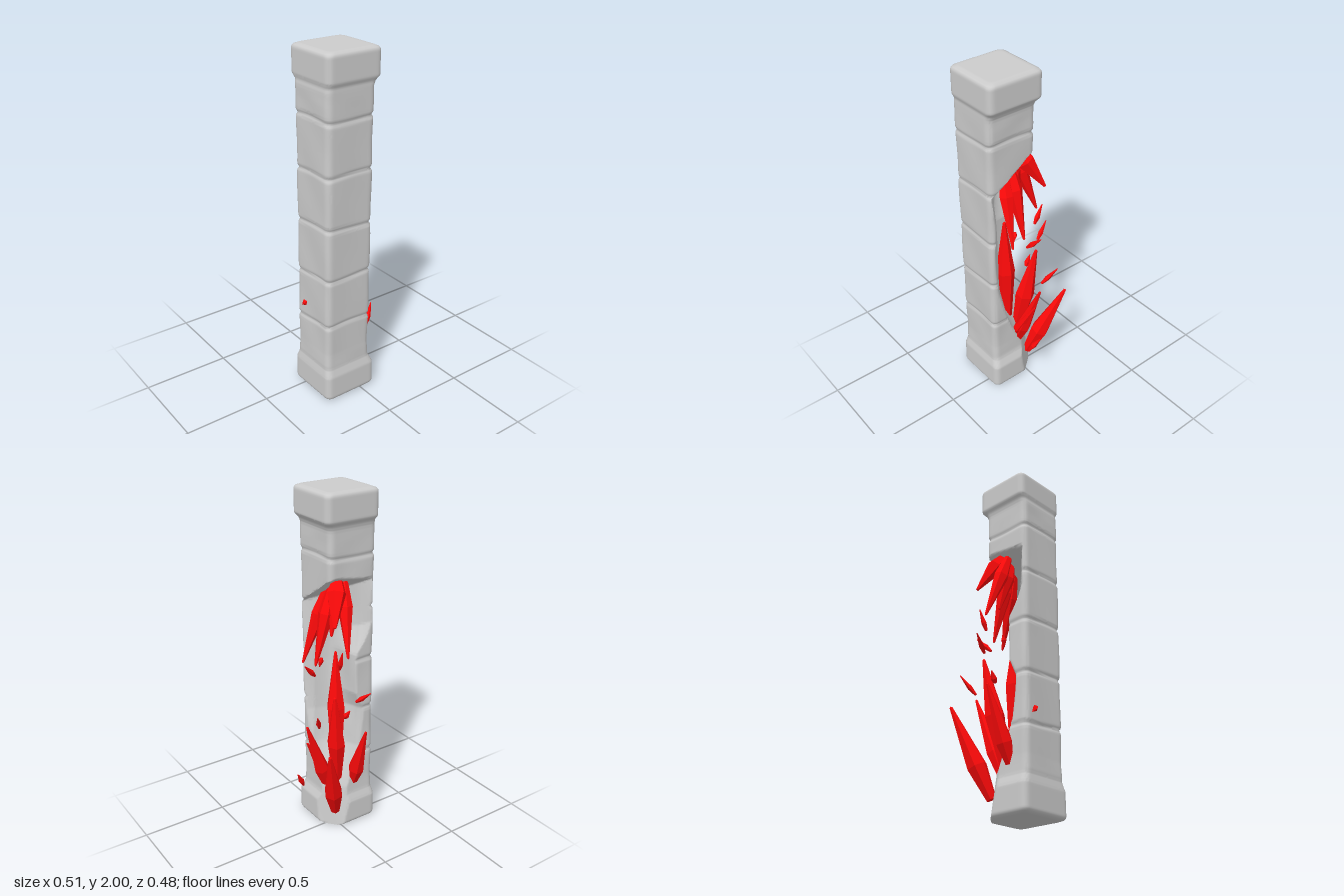
import * as THREE from 'three';
import { toCreasedNormals } from 'three/addons/utils/BufferGeometryUtils.js';

const { clamp, lerp, smoothstep } = THREE.MathUtils;
const grey = new THREE.MeshStandardMaterial({ color: 0xcccccc });
const red = new THREE.MeshStandardMaterial({ color: 0xff0a0a, flatShading: true });

// Piecewise linear lookup in [[t, value], ...]
function lookup(knots, t) {
  for (let i = 1; i < knots.length; i++) {
    const [t0, v0] = knots[i - 1], [t1, v1] = knots[i];
    if (t <= t1) return lerp(v0, v1, clamp((t - t0) / (t1 - t0), 0, 1));
  }
  return knots[knots.length - 1][1];
}

const CX = 0.088, CZ = 0.08;
const SEAMS = [0.468, 0.758, 1.052, 1.355, 1.65];
const HALF = [[0, 0.166], [0.15, 0.165], [0.2, 0.149], [0.3, 0.146], [1.5, 0.148], [1.8, 0.15], [1.825, 0.153], [1.85, 0.167], [2, 0.167]];
const MIDX = [[0, 0.077], [0.15, 0.077], [0.22, 0.08], [0.6, 0.085], [1.3, 0.09], [1.8, 0.092], [1.85, 0.085], [2, 0.085]];
const MIDZ = [[0, 0.072], [0.15, 0.073], [0.22, 0.082], [1.8, 0.082], [1.85, 0.068], [2, 0.068]];
// How far the broken corner still reaches along the diagonal, by height, on its two sides
const SHELF = [[1.2, 0.015], [1.43, 0.005], [1.48, 0.09], [1.53, 0.17], [1.57, 0.4]];
const BREAK_A = [[0, 0.172], [0.25, 0.14], [0.5, 0.065], [0.7, 0.03], [1, 0.015], ...SHELF];
const BREAK_B = [[0, 0.172], [0.25, 0.14], [0.5, 0.065], [0.74, 0.05], [0.84, 0.085], [1.08, 0.085], ...SHELF];

// Point of the column surface: u, v on the unit square outline, y the height
function columnPoint(u, v, y) {
  let h = lookup(HALF, y);
  // Rounded top and bottom rims
  const rim = Math.min(y, 2 - y), R = 0.025;
  if (rim < R) h -= R - Math.sqrt(R * R - (R - rim) ** 2);
  // Wavy grooves between the blocks, and slightly uneven faces
  SEAMS.forEach((s, i) => {
    const wave = 0.009 * Math.sin(1.6 * u + i * 0.4) + 0.006 * Math.cos(1.5 * v + i * 2.3);
    h -= 0.007 * Math.exp(-(((y - s - wave) / 0.011) ** 2));
  });
  const shaft = smoothstep(y, 0.2, 0.3) * (1 - smoothstep(y, 1.72, 1.8));
  h += 0.0025 * shaft * Math.sin(3 * u + 9 * y) * Math.cos(3 * v - 7 * y);
  // Rounded corners
  const r = 0.032, k = h - r;
  const px = u * h, pz = v * h;
  const ix = clamp(px, -k, k), iz = clamp(pz, -k, k);
  const len = Math.hypot(px - ix, pz - iz) || 1;
  const x = lookup(MIDX, y) + ix + (px - ix) / len * r;
  const z = lookup(MIDZ, y) + iz + (pz - iz) / len * r;
  // Broken corner at the back right: push the surface in along the diagonal
  const l = (-(x - CX) + (z - CZ)) * Math.SQRT1_2;
  const d = (-(x - CX) - (z - CZ)) * Math.SQRT1_2;
  const yy = y - 0.4 * l * smoothstep(y, 1.05, 1.35);
  const hollow = 0.04 * Math.max(0, 1 - (l / 0.13) ** 2) * smoothstep(yy, 0.25, 0.55) * (1 - smoothstep(yy, 1.15, 1.5));
  const edge = lerp(lookup(BREAK_A, yy), lookup(BREAK_B, yy), smoothstep(l, -0.06, 0.1));
  const limit = edge - hollow + 0.004 * Math.sin(25 * l + 11 * y);
  const cut = Math.max(0, d - limit) * Math.SQRT1_2;
  return [x + cut, y, z + cut];
}

function columnGeometry() {
  const side = 28, N = side * 4, steps = 250;
  const corners = [[1, -1], [1, 1], [-1, 1], [-1, -1]];
  // Each ring: height and scale about the axis; the first and last lie flat on the ends
  const rings = [[0, 0.9]];
  for (let j = 0; j <= steps; j++) rings.push([2 * j / steps, 1]);
  rings.push([2, 0.9]);
  const pos = [], idx = [];
  for (const [y, scale] of rings) {
    for (let i = 0; i < N; i++) {
      const c = Math.floor(i / side), t = (i % side) / side;
      const a = corners[c], b = corners[(c + 1) % 4];
      const p = columnPoint(lerp(a[0], b[0], t), lerp(a[1], b[1], t), y);
      pos.push(lerp(CX, p[0], scale), y, lerp(CZ, p[2], scale));
    }
  }
  const bottom = pos.length / 3, top = bottom + 1, last = (rings.length - 1) * N;
  pos.push(CX, 0, CZ, CX, 2, CZ);
  for (let i = 0; i < N; i++) {
    const n = (i + 1) % N;
    for (let j = 0; j < rings.length - 1; j++) {
      const a = j * N + i, b = j * N + n;
      idx.push(a, a + N, b, b, a + N, b + N);
    }
    idx.push(i, n, bottom, last + i, top, last + n);
  }
  const g = new THREE.BufferGeometry();
  g.setAttribute('position', new THREE.Float32BufferAttribute(pos, 3));
  g.setIndex(idx);
  return toCreasedNormals(g, 1.1);
}

// Faceted spike from a root point to a tip
function crystal(name, root, tip, radius, widest = 0.35, sides = 6) {
  const a = new THREE.Vector3(...root), dir = new THREE.Vector3(...tip).sub(a);
  const L = dir.length();
  const profile = [[0, 0], [0.5, 0.01], [1, widest], [0.16, 0.985], [0, 1]]
    .map(([r, t]) => new THREE.Vector2(r * radius, t * L));
  const mesh = new THREE.Mesh(new THREE.LatheGeometry(profile, sides), red);
  mesh.name = name;
  mesh.position.copy(a);
  mesh.quaternion.setFromUnitVectors(new THREE.Vector3(0, 1, 0), dir.normalize());
  return mesh;
}

export function createModel() {
  const model = new THREE.Group();
  model.name = 'brokenColumn';

  const column = new THREE.Mesh(columnGeometry(), grey);
  column.name = 'stoneColumn';
  model.add(column);

  const addCluster = (name, part, list) => {
    const group = new THREE.Group();
    group.name = name;
    list.forEach(args => group.add(crystal(part, ...args)));
    model.add(group);
  };

  // Spikes growing up from the base
  addCluster('lowerCrystals', 'risingCrystal', [
    [[-0.045, 0.1, -0.025], [-0.21, 0.6, -0.175], 0.055, 0.35],
    [[-0.035, 0.24, 0.105], [-0.195, 0.67, 0.08], 0.046, 0.3],
    [[0.04, 0.2, -0.01], [-0.005, 0.7, -0.19], 0.045],
    [[0.0, 0.28, 0.02], [-0.085, 0.88, -0.055], 0.055, 0.45],
    [[0.05, 0.3, 0.05], [0.06, 1.08, 0.05], 0.055, 0.55],
    [[0.06, 0.25, 0.0], [0.02, 0.58, -0.175], 0.033],
  ]);

  // Spikes hanging from the broken block
  addCluster('upperCrystals', 'hangingCrystal', [
    [[0.09, 1.46, 0.02], [0.135, 1.02, -0.122], 0.04],
    [[0.05, 1.48, 0.02], [0.04, 1.03, -0.1], 0.045],
    [[0.0, 1.52, 0.06], [-0.13, 1.11, 0.0], 0.042],
    [[0.0, 1.53, 0.02], [-0.12, 1.3, -0.08], 0.052, 0.3],
    [[0.04, 1.5, 0.04], [0.0, 1.2, -0.02], 0.045],
  ]);

  // Loose splinters
  addCluster('shards', 'shard', [
    [[-0.165, 0.86, 0.03], [-0.257, 0.94, 0.062], 0.015],
    [[-0.055, 0.7, -0.14], [-0.125, 0.81, -0.197], 0.015],
    [[0.06, 0.28, -0.178], [0.025, 0.39, -0.238], 0.017],
    [[0.03, 0.98, -0.11], [0.0, 1.07, -0.195], 0.016],
    [[0.03, 0.565, 0.219], [-0.025, 0.515, 0.224], 0.02],
    [[-0.09, 1.04, -0.03], [-0.135, 1.16, -0.04], 0.016],
    [[0.06, 1.06, -0.045], [0.075, 1.0, -0.05], 0.016],
    [[-0.07, 0.72, 0.02], [-0.11, 0.78, 0.03], 0.018],
  ].map(([root, tip, r]) => [root, tip, r, 0.35, 5]));

  return model;
}
